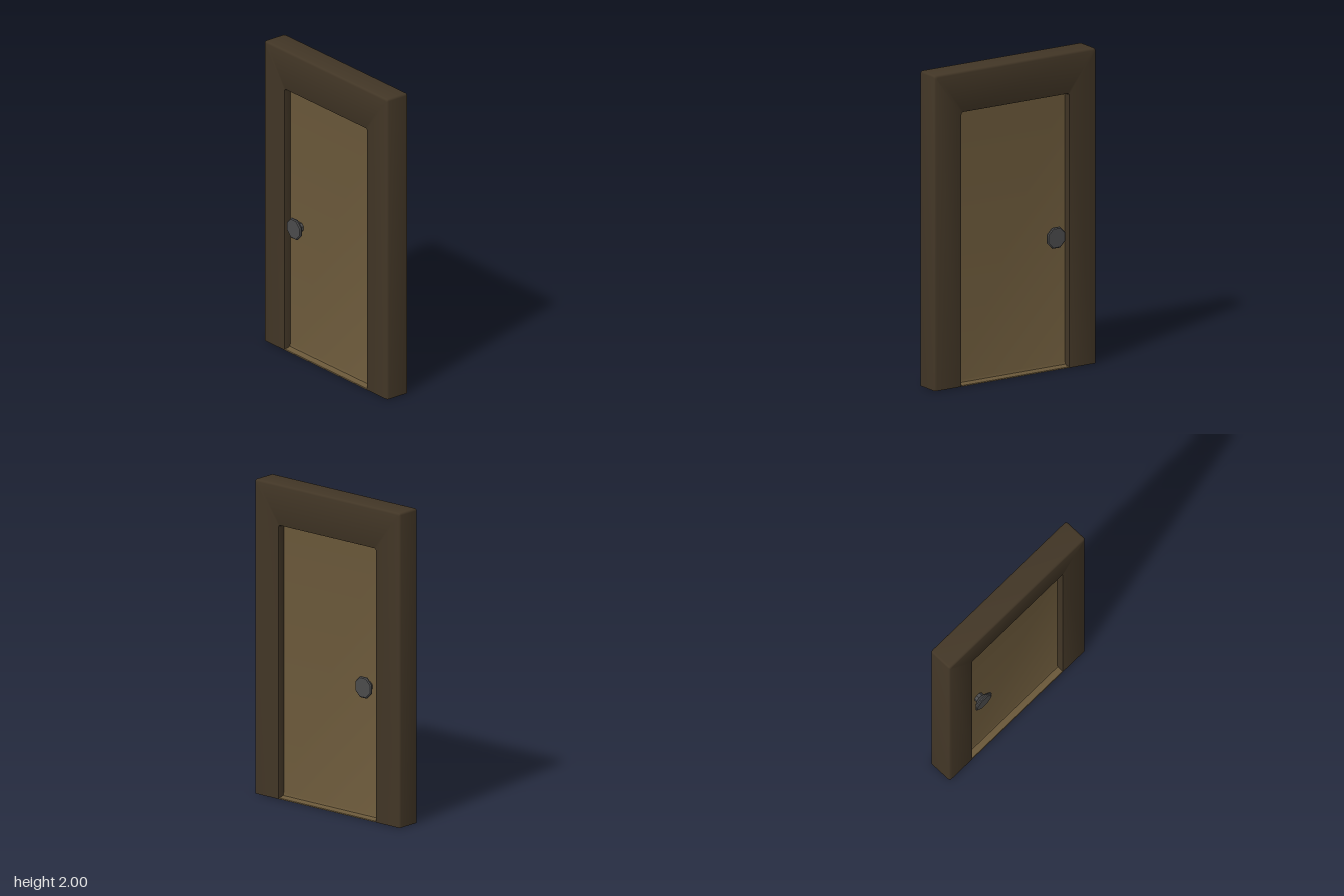
import * as THREE from 'three';
import { toCreasedNormals } from 'three/addons/utils/BufferGeometryUtils.js';

const HALF_W = 0.595, HEIGHT = 2, DEPTH = 0.083; // outer frame
const OPEN_W = 0.397, OPEN_H = 1.74;             // door opening
const PANEL_Z = 0.035, EDGE = 0.014;             // recess and edge rounding

const material = (color) => new THREE.MeshStandardMaterial({ color, side: THREE.DoubleSide });

// Skin a surface across rows of points with equal counts
function loft(rows) {
  const n = rows[0].length, index = [];
  for (let j = 0; j < rows.length - 1; j++) {
    for (let i = 0; i < n - 1; i++) {
      const a = j * n + i, b = a + 1, c = a + n, d = c + 1;
      index.push(a, b, d, a, d, c);
    }
  }
  const geometry = new THREE.BufferGeometry();
  geometry.setAttribute('position', new THREE.Float32BufferAttribute(rows.flat(2), 3));
  geometry.setIndex(index);
  return toCreasedNormals(geometry, 0.7);
}

// Arch-shaped row, open at the floor, with softened top corners
function arch(halfW, top, z, r = EDGE) {
  const row = [[halfW, 0, z]];
  for (const [side, start] of [[1, 0], [-1, Math.PI / 2]]) {
    for (let k = 0; k <= 3; k++) {
      const t = start + (k / 3) * Math.PI / 2;
      row.push([side * (halfW - r) + r * Math.cos(t), top - r + r * Math.sin(t), z]);
    }
  }
  row.push([-halfW, 0, z]);
  return row;
}

// Frame shell: front jamb, face and rounded outer edge, mirrored to the back
function frameGeometry() {
  const half = [];
  for (let k = 0; k <= 3; k++) { // outer edge
    const t = (k / 3) * Math.PI / 2, inset = EDGE * (1 - Math.cos(t));
    half.push([HALF_W - inset, HEIGHT - inset, DEPTH - EDGE + EDGE * Math.sin(t)]);
  }
  for (let k = 0; k <= 2; k++) { // opening edge
    const t = (k / 2) * Math.PI / 2, r = 0.006, out = r * (1 - Math.sin(t));
    half.push([OPEN_W + out, OPEN_H + out, DEPTH - r + r * Math.cos(t)]);
  }
  half.push([OPEN_W, OPEN_H, PANEL_Z - 0.005]);
  const back = half.map(([w, h, z]) => [w, h, -z]).reverse();
  return loft([...back, ...half].map(([w, h, z]) => arch(w, h, z)));
}

// Door face flaring out into a low sill at the floor
function panelGeometry() {
  const profile = [[0, DEPTH], [0.006, DEPTH - 0.003], [0.008, 0.055], [0.014, 0.041],
    [0.03, PANEL_Z], [OPEN_H, PANEL_Z]];
  return loft(profile.map(([y, z]) => [[-OPEN_W, y, z], [OPEN_W, y, z]]));
}

// Eight-sided knob on a narrow neck
function knobGeometry() {
  const profile = [[0.032, 0.03], [0.032, 0.055], [0.06, 0.069], [0.071, 0.078],
    [0.071, 0.086], [0.064, 0.092], [0, 0.092]].map(([x, y]) => new THREE.Vector2(x, y));
  const geometry = new THREE.LatheGeometry(profile, 8, Math.PI / 8);
  geometry.rotateX(Math.PI / 2);
  return toCreasedNormals(geometry, 0.6);
}

export function createModel() {
  const model = new THREE.Group();
  model.name = 'door';
  const add = (name, geometry, mat) => {
    const mesh = new THREE.Mesh(geometry, mat);
    mesh.name = name;
    model.add(mesh);
    return mesh;
  };

  add('frame', frameGeometry(), material(0x423626));

  // Panel and knob on both faces
  const wood = material(0x695739), metal = material(0x4b4b4c);
  for (const [face, turn] of [['front', 0], ['back', Math.PI]]) {
    add(face + 'Panel', panelGeometry(), wood).rotation.y = turn;
    const knob = add(face + 'Knob', knobGeometry(), metal);
    knob.position.set(-0.3, 0.84, 0);
    knob.rotation.y = turn;
  }
  return model;
}
